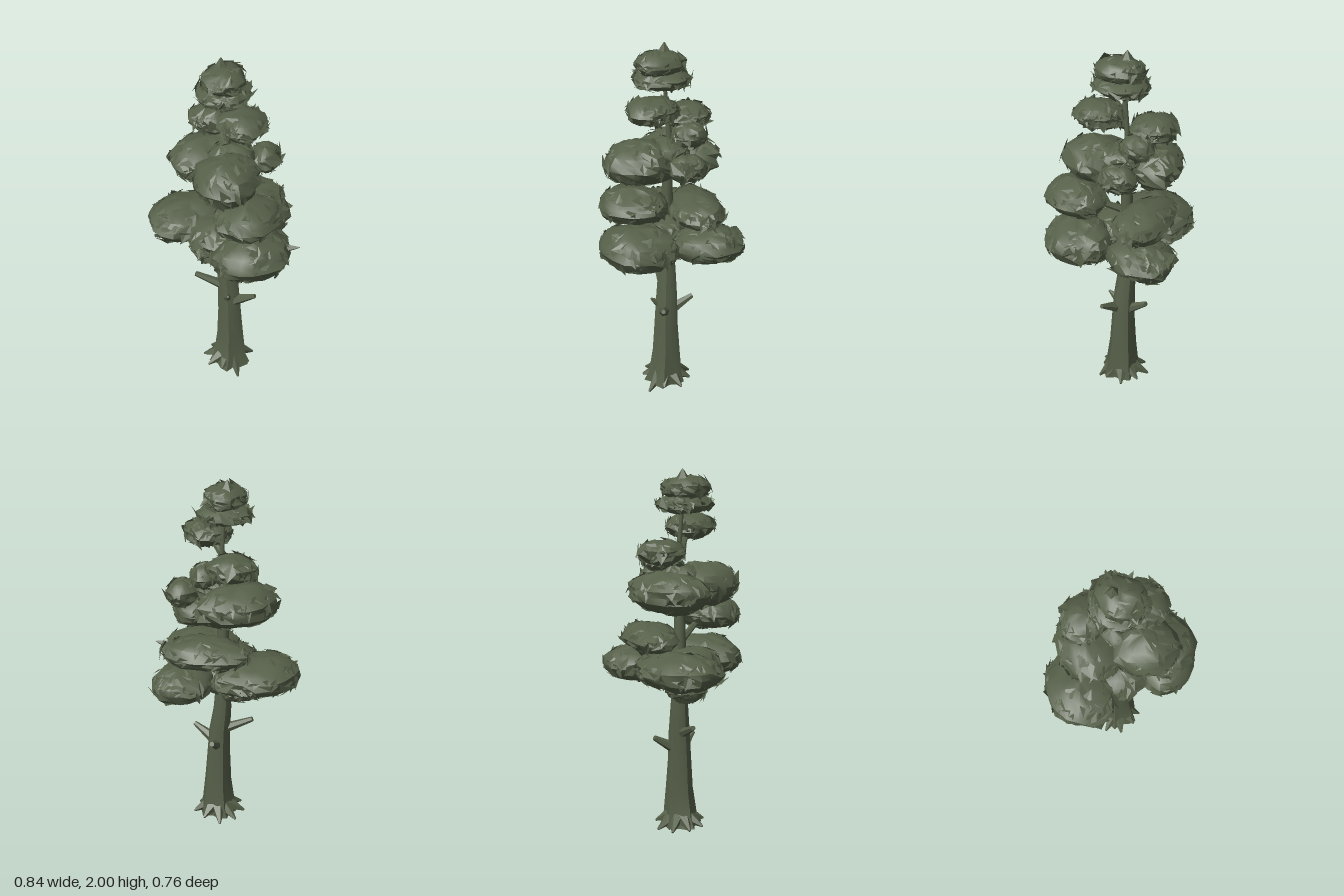
import * as THREE from 'three';
import { mergeGeometries, toCreasedNormals } from 'three/addons/utils/BufferGeometryUtils.js';

// small seeded random
let seed = 11;
const rnd = () => {
  seed = (seed * 16807) % 2147483647;
  return seed / 2147483647;
};
const spread = (a) => (rnd() * 2 - 1) * a;

const darkGreen = new THREE.MeshStandardMaterial({ color: 0x566049, side: THREE.DoubleSide });
darkGreen.name = 'darkGreen';

// lumpy surface point of a foliage pad, in unit-sphere directions
function padPoint(dir, r, phase) {
  const a = Math.atan2(dir.z, dir.x);
  const lump = 0.95 + 0.04 * Math.sin(3 * a + phase) + 0.04 * Math.sin(5 * a + 2 * phase + 3 * dir.y);
  return new THREE.Vector3(dir.x * r[0] * lump, dir.y * r[1] * (0.96 + 0.07 * Math.sin(2 * a + phase)), dir.z * r[2] * lump);
}

// leaf shards: small kites lying roughly along the pad's surface
function shards(r, phase, count) {
  const pos = [];
  for (let i = 0; i < count; i++) {
    const a = rnd() * Math.PI * 2, h = spread(0.9), c = Math.sqrt(1 - h * h);
    const dir = new THREE.Vector3(Math.cos(a) * c, h, Math.sin(a) * c);
    const p = padPoint(dir, r, phase);
    const n = new THREE.Vector3(dir.x / r[0], dir.y / r[1], dir.z / r[2]).normalize();
    const u = new THREE.Vector3(spread(1), spread(0.6), spread(1)).cross(n).normalize();
    const v = n.clone().cross(u);
    const L = 0.025 + rnd() * 0.035, W = L * (0.3 + rnd() * 0.4);
    const at = (s, t, k) => p.clone().addScaledVector(u, s).addScaledVector(v, t).addScaledVector(n, k);
    const tip = at(L, 0, rnd() * 0.01), tail = at(-L, 0, -0.012);
    const l = at(0, W, 0.002), m = at(0, -W, 0.002);
    for (const q of [tail, m, tip, tail, tip, l]) pos.push(q.x, q.y, q.z);
  }
  const g = new THREE.BufferGeometry();
  g.setAttribute('position', new THREE.Float32BufferAttribute(pos, 3));
  g.computeVertexNormals();
  return g;
}

function foliagePad([x, y, z, rx, ry, rz, turn = 0]) {
  const r = [rx, ry, rz], phase = rnd() * 6;
  const body = new THREE.SphereGeometry(1, 18, 10);
  const p = body.attributes.position, d = new THREE.Vector3();
  for (let i = 0; i < p.count; i++) {
    d.fromBufferAttribute(p, i);
    const q = padPoint(d, r, phase);
    // a repeatable jitter, equal on both sides of the seam
    const j = 1 + 0.09 * Math.sin(17.3 * d.x + phase) * Math.sin(13.7 * d.z + 2 * phase) * Math.cos(9 * d.y);
    p.setXYZ(i, q.x * j, q.y * j, q.z * j);
  }
  body.deleteAttribute('uv');
  const count = Math.round(25 + 1300 * rx * rz);
  const g = mergeGeometries([toCreasedNormals(body, 0.6), shards(r, phase, count)]);
  return g.rotateY(turn).translate(x, y, z);
}

// tapered, ribbed tube through cross-sections [x, y, z, radius, rib depth]
function ribbedTube(rings, sides, ribs) {
  const g = new THREE.CylinderGeometry(1, 1, 1, sides, rings.length - 1, true);
  const p = g.attributes.position;
  for (let i = 0; i < p.count; i++) {
    const [x, y, z, r, rib] = rings[rings.length - 1 - Math.floor(i / (sides + 1))];
    const a = ((i % (sides + 1)) / sides) * Math.PI * 2;
    const k = r * (1 + rib * Math.cos(ribs * a + 0.5));
    p.setXYZ(i, x + Math.sin(a) * k, y, z + Math.cos(a) * k);
  }
  return toCreasedNormals(g, 0.7);
}

// cone or stub between two points
function limb(from, to, r0, r1, sides = 6) {
  const a = new THREE.Vector3(...from), b = new THREE.Vector3(...to), d = b.clone().sub(a);
  const g = new THREE.CylinderGeometry(r1, r0, d.length(), sides);
  g.applyQuaternion(new THREE.Quaternion().setFromUnitVectors(new THREE.Vector3(0, 1, 0), d.normalize()));
  const c = a.add(b).multiplyScalar(0.5);
  return toCreasedNormals(g.translate(c.x, c.y, c.z), 0.7);
}

export function createModel() {
  seed = 11;
  const tree = new THREE.Group();
  tree.name = 'tree';
  const add = (name, geometry, parent = tree) => {
    const m = new THREE.Mesh(geometry, darkGreen);
    m.name = name;
    parent.add(m);
  };

  // trunk, thinning as it runs up inside the crown
  add('trunk', ribbedTube([
    [0.03, 0.045, 0.01, 0.1, 0.2], [0.035, 0.1, 0.005, 0.086, 0.14], [0.035, 0.25, 0, 0.072, 0.1],
    [0.03, 0.42, 0, 0.063, 0.07], [0.022, 0.58, -0.005, 0.057, 0.06], [0.005, 0.72, -0.01, 0.048, 0.06],
    [0, 0.86, -0.01, 0.04, 0.05], [0, 1.2, -0.01, 0.03, 0], [0.01, 1.5, -0.02, 0.016, 0],
    [0, 1.75, 0, 0.01, 0], [-0.01, 1.95, 0, 0.008, 0],
  ], 15, 5));

  // flared roots, spreading low
  const roots = new THREE.Group();
  roots.name = 'roots';
  for (let i = 0; i < 9; i++) {
    const a = (i / 9) * Math.PI * 2 + 0.3, c = Math.cos(a), s = Math.sin(a), R = 0.13 + rnd() * 0.02;
    const tipY = i === 1 ? 0.005 : 0.04 + rnd() * 0.035;
    add('root', limb([0.03 + c * 0.05, 0.1, s * 0.05], [0.02 + c * R, tipY, s * R], 0.04, 0.006, 5), roots);
  }
  tree.add(roots);

  // broken branch stubs
  add('leftStub', limb([0.06, 0.5, 0.02], [0.175, 0.565, 0.05], 0.032, 0.012));
  add('rightStub', limb([-0.01, 0.585, 0], [-0.16, 0.655, 0.01], 0.028, 0.014));
  add('backStub', limb([0.03, 0.49, -0.03], [0.03, 0.56, -0.145], 0.032, 0.014));
  add('frontStub', limb([0.02, 0.53, 0.04], [0.03, 0.57, 0.085], 0.024, 0.006));

  // boughs from the trunk into the crown
  const boughs = [
    [[0, 0.8, 0], [-0.18, 0.95, -0.05]], [[0, 0.8, 0], [0.14, 0.93, 0.16]], [[0, 0.8, 0], [0.12, 0.93, -0.17]],
    [[0, 1.1, 0], [0.13, 1.2, 0.17]], [[0, 1.5, 0], [-0.06, 1.58, -0.1]], [[0, 1.6, 0], [0.09, 1.67, 0.07]],
  ];
  for (const [a, b] of boughs) add('bough', limb(a, b, 0.022, 0.01));

  // foliage pads: centre, radii and turn about the vertical
  const q = Math.PI / 4;
  const pads = [
    [-0.205, 0.98, -0.085, 0.25, 0.1, 0.195, q],
    [0.17, 0.965, 0.185, 0.23, 0.115, 0.185, q],
    [0.17, 0.95, -0.19, 0.165, 0.1, 0.2],
    [-0.02, 0.98, 0.04, 0.18, 0.085, 0.17],
    [-0.08, 0.845, 0, 0.11, 0.07, 0.11],
    [0.06, 1.11, -0.15, 0.245, 0.08, 0.145],
    [0.15, 1.21, 0.205, 0.19, 0.092, 0.165, q],
    [0.03, 1.39, 0.14, 0.18, 0.118, 0.195],
    [-0.1, 1.375, -0.1, 0.235, 0.113, 0.165, q],
    [0.03, 1.43, 0, 0.13, 0.075, 0.13],
    [0.2, 1.405, -0.07, 0.085, 0.075, 0.1],
    [-0.075, 1.585, -0.13, 0.135, 0.068, 0.125],
    [0.07, 1.53, -0.11, 0.08, 0.065, 0.095],
    [0.1, 1.69, 0.09, 0.13, 0.07, 0.135],
    [0, 1.82, 0.02, 0.145, 0.053, 0.15],
    [0, 1.9, 0.03, 0.115, 0.065, 0.135],
  ];
  const crown = new THREE.Group();
  crown.name = 'crown';
  for (const p of pads) add('foliagePad', foliagePad(p), crown);
  // pointed leader and rim tip
  add('treeTip', limb([-0.02, 1.93, 0], [-0.02, 2, 0], 0.05, 0.004, 5), crown);
  add('leafTip', limb([0.3, 0.98, 0.14], [0.415, 1.0, 0.14], 0.04, 0.002, 4), crown);
  tree.add(crown);
  return tree;
}
